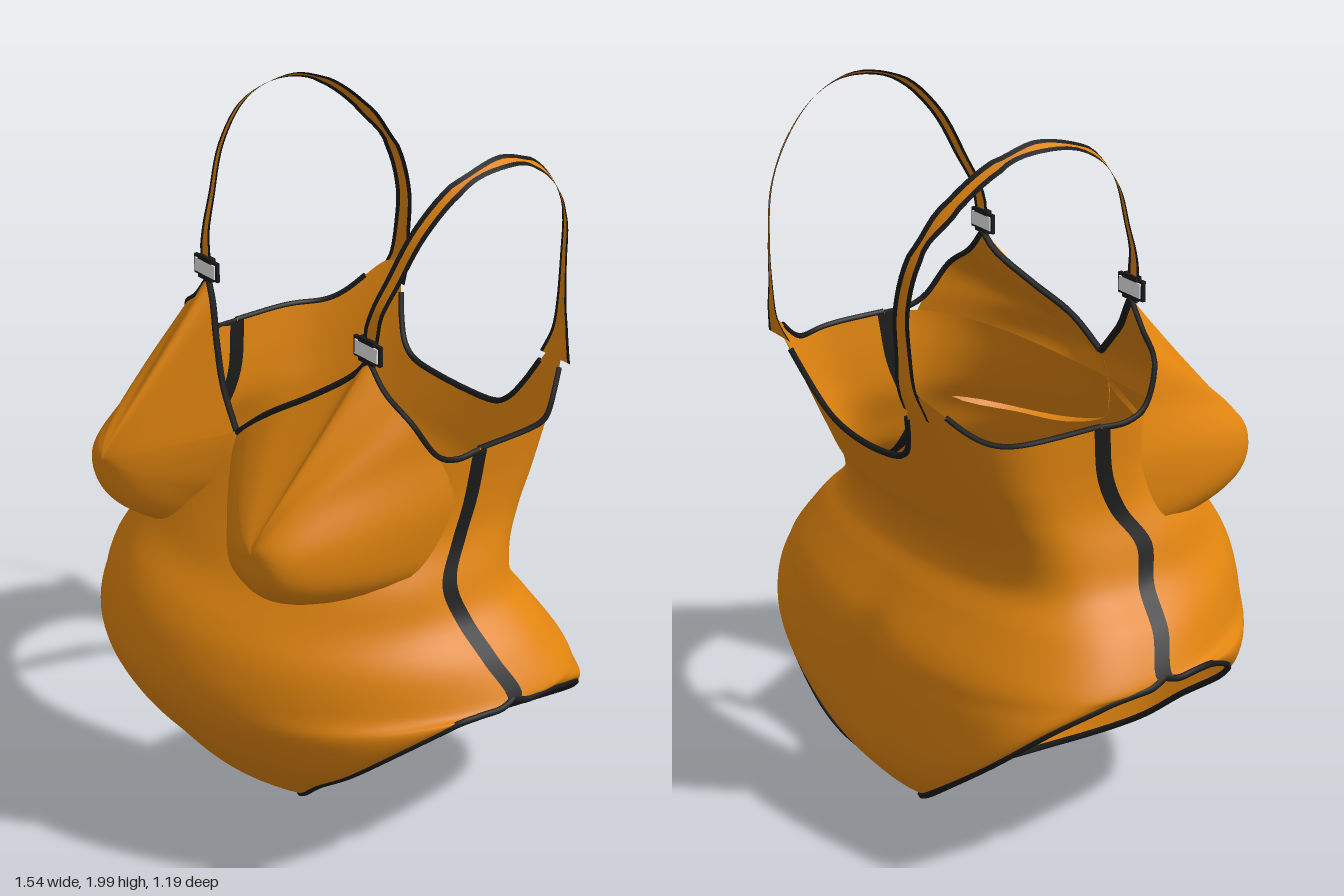
import * as THREE from 'three';

const mat = (name, color, side = THREE.DoubleSide) => {
  const m = new THREE.MeshStandardMaterial({ color, side });
  m.name = name;
  return m;
};
const V = (x, y, z) => new THREE.Vector3(x, y, z);

// Smooth surface from a point function over a grid
function grid(nu, nv, fn) {
  const pos = [], idx = [];
  for (let j = 0; j <= nv; j++)
    for (let i = 0; i <= nu; i++) {
      const p = fn(i / nu, j / nv);
      pos.push(p.x, p.y, p.z);
      if (i < nu && j < nv) {
        const a = j * (nu + 1) + i, b = a + nu + 1;
        idx.push(a, b, a + 1, a + 1, b, b + 1);
      }
    }
  const g = new THREE.BufferGeometry();
  g.setAttribute('position', new THREE.Float32BufferAttribute(pos, 3));
  g.setIndex(idx);
  g.computeVertexNormals();
  return g;
}

// Panel rows: side edge x, y, z, then centre y, z, then roundness of the curve
const FRONT = [
  [.53, 1.245, -.12, 1.12, .3, 1], [.52, 1.1, -.1, 1.04, .35, 1], [.525, 1.0, -.06, .96, .4, 1],
  [.56, .9, 0, .88, .45, 1], [.60, .8, -.02, .8, .52, 1.05], [.69, .71, -.04, .71, .57, 1.2],
  [.755, .61, -.07, .6, .595, 1.3], [.735, .59, .1, .5, .575, 1.4], [.64, .5, .24, .4, .52, 1.4],
  [.53, .4, .3, .31, .45, 1.3], [.38, .28, .29, .21, .37, 1.2], [.26, .17, .25, .13, .27, 1],
  [.15, .09, .18, .06, .16, 1], [.05, .03, .05, .022, .05, 1], [.015, .014, -.08, .011, -.08, 1],
];
const BACK = [
  [.53, 1.245, -.12, 1.12, -.515, .38], [.52, 1.1, -.1, 1.04, -.48, .4], [.525, 1.0, -.06, .97, -.45, .45],
  [.56, .9, 0, .9, -.41, .5], [.60, .8, -.02, .8, -.39, .55], [.69, .71, -.04, .71, -.445, .6],
  [.755, .61, -.07, .6, -.52, .62], [.74, .575, -.22, .5, -.55, .85], [.68, .51, -.37, .4, -.557, 1],
  [.57, .4, -.47, .28, -.552, 1], [.41, .27, -.5, .18, -.53, 1], [.23, .135, -.48, .1, -.475, 1],
  [.1, .06, -.4, .045, -.37, 1], [.035, .025, -.22, .022, -.2, 1], [.015, .014, -.08, .011, -.08, 1],
];

// point(angle, t): angle -90..90 degrees across, t from top to crotch
function panel(rows, cleft, rise) {
  const edge = new THREE.CatmullRomCurve3(rows.map(r => V(r[0], r[1], r[2])));
  const mid = new THREE.CatmullRomCurve3(rows.map(r => V(r[5], r[3], r[4])));
  const point = (a, t) => {
    const e = edge.getPoint(t), c = mid.getPoint(t), s = Math.sin(a);
    const x = e.x * s, y = c.y + (e.y - c.y) * s * s;
    const z = e.z + (c.z - e.z) * Math.pow(Math.max(0, Math.cos(a)), c.x);
    const dip = cleft * Math.exp(-((x / .09) ** 2) - (((y - .42) / .2) ** 2));
    // Top edge sweeps up into the straps
    const lift = rise * Math.exp(-(((Math.abs(x) - .355) / .09) ** 2)) * Math.max(0, 1 - t * 7) ** 2;
    return V(x, y + lift, z + dip - lift * .5);
  };
  return { edge, point };
}

export function createModel() {
  const root = new THREE.Group();
  root.name = 'swimsuit';
  const fabric = mat('orange fabric', 0xe0840f);
  const dark = mat('black trim', 0x1b1b1b);
  const white = mat('white buckle', 0xffffff);
  const add = (name, geo, m, parent = root) => {
    const mesh = new THREE.Mesh(geo, m);
    mesh.name = name;
    parent.add(mesh);
    return mesh;
  };
  const piping = (name, pts, r, parent) =>
    add(name, new THREE.TubeGeometry(new THREE.CatmullRomCurve3(pts), pts.length * 4, r, 6), dark, parent);

  // Body panels
  const front = panel(FRONT, 0, 0), back = panel(BACK, .03, .2);
  const H = Math.PI / 2;
  add('frontPanel', grid(48, 70, (u, t) => front.point((u * 2 - 1) * H, t)), fabric);
  add('backPanel', grid(80, 84, (u, t) => back.point((1 - u * 2) * H, t)), fabric);

  // Back neckline edge between the straps
  const backTop = (a0, a1) => Array.from({ length: 17 }, (_, i) => back.point(a0 + (a1 - a0) * i / 16, 0));
  piping('backNeckTrim', backTop(-.6, .6), .009);

  // Bust cup outline, starting at the centre of the neckline
  const rim = [
    [.002, 1.21, .27], [.1, 1.295, .24], [.21, 1.37, .18], [.31, 1.45, .12], [.35, 1.5, .105],
    [.41, 1.43, .1], [.49, 1.37, .08], [.53, 1.27, .02], [.56, 1.15, -.01], [.553, 1.05, .02],
    [.525, .94, .1], [.42, .88, .28], [.3, .872, .36], [.16, .92, .4], [.06, 1.02, .345], [.002, 1.1, .3],
  ].map(p => V(...p));
  const rimCurve = new THREE.CatmullRomCurve3(rim, true);
  const apex = V(.34, 1.06, .485);
  const cupGeo = grid(72, 18, (u, r) => {
    const b = rimCurve.getPoint(u), dx = b.x - apex.x, dy = b.y - apex.y, len = Math.hypot(dx, dy);
    // Rounder near the tip, following the outline at the edge
    const k = r * (.25 * (1 - r) + len * r) / len;
    const n = 2.4 - dy / len + .4 * dx / len;
    return V(apex.x + dx * k, apex.y + dy * k, apex.z + (b.z - apex.z) * Math.pow(r, n));
  });

  // Strap rows: x, y, z, half width
  const strapRows = [
    [.35, 1.32, -.56, .06], [.342, 1.39, -.582, .038], [.337, 1.48, -.587, .027],
    [.335, 1.6, -.588, .023], [.36, 1.74, -.56, .021],
    [.4, 1.86, -.48, .021], [.43, 1.95, -.37, .02], [.443, 1.985, -.25, .02],
    [.443, 1.95, -.1, .02], [.42, 1.85, 0, .021], [.388, 1.72, .06, .022],
    [.365, 1.62, .1, .023], [.352, 1.49, .108, .023],
  ];
  const strapMid = new THREE.CatmullRomCurve3(strapRows.map(r => V(r[0], r[1], r[2])));
  const strapWide = new THREE.CatmullRomCurve3(strapRows.map(r => V(r[3], 0, 0)));
  const EDGE = .012;
  // Width offset d comes from the half width; the outer edge tilts down over the shoulder
  const strapSurface = offset => grid(2, 64, (u, t) => {
    const p = strapMid.getPoint(t), d = offset(u, strapWide.getPoint(t).x);
    const tilt = .6 * Math.sin(Math.PI * t) * d, a = Math.atan2(p.y - 1.5, p.z + .25);
    return V(p.x + d, p.y - tilt * Math.sin(a), p.z - tilt * Math.cos(a));
  });

  // Everything that is mirrored
  for (const side of [1, -1]) {
    const g = new THREE.Group();
    g.name = side > 0 ? 'leftSide' : 'rightSide';
    g.scale.x = side;
    root.add(g);

    add('cup', cupGeo, fabric, g);
    piping('necklineTrim', rim.slice(0, 5), .01, g);
    piping('frontArmholeTrim', [...rim.slice(4, 8), V(.535, 1.245, -.04), V(.53, 1.245, -.12)], .008, g);
    piping('backArmholeTrim', backTop(.9, H), .008, g);

    add('strap', strapSurface((u, w) => (u * 2 - 1) * (w - EDGE)), fabric, g);
    for (const s of [-1, 1])
      add('strapTrim', strapSurface((u, w) => s * w - EDGE * (s > 0 ? 1 - u : -u)), dark, g);

    // Leg opening edge
    const leg = c => Array.from({ length: 25 }, (_, i) => c.getPoint((6 + 8 * i / 24) / 14));
    piping('frontLegTrim', leg(front.edge), .009, g);
    piping('backLegTrim', leg(back.edge), .01, g);

    // Side seam stripe, one thin face outside and one inside
    for (const off of [.007, -.007])
      add('sideStripe', grid(2, 36, (u, t) => {
        const p = front.edge.getPoint(t * 6 / 14);
        return V(p.x + off, p.y, p.z + (u - .5) * .05);
      }), dark, g);

    // Strap buckle
    const buckle = new THREE.Group();
    buckle.name = 'buckle';
    buckle.position.set(.35, 1.53, .108);
    g.add(buckle);
    add('buckleFrame', new THREE.BoxGeometry(.106, .056, .01), dark, buckle);
    add('bucklePlate', new THREE.BoxGeometry(.09, .04, .018), white, buckle);
    for (const y of [-.027, .027])
      add('buckleLoop', new THREE.BoxGeometry(.06, .014, .018), dark, buckle).position.y = y;
  }
  return root;
}
